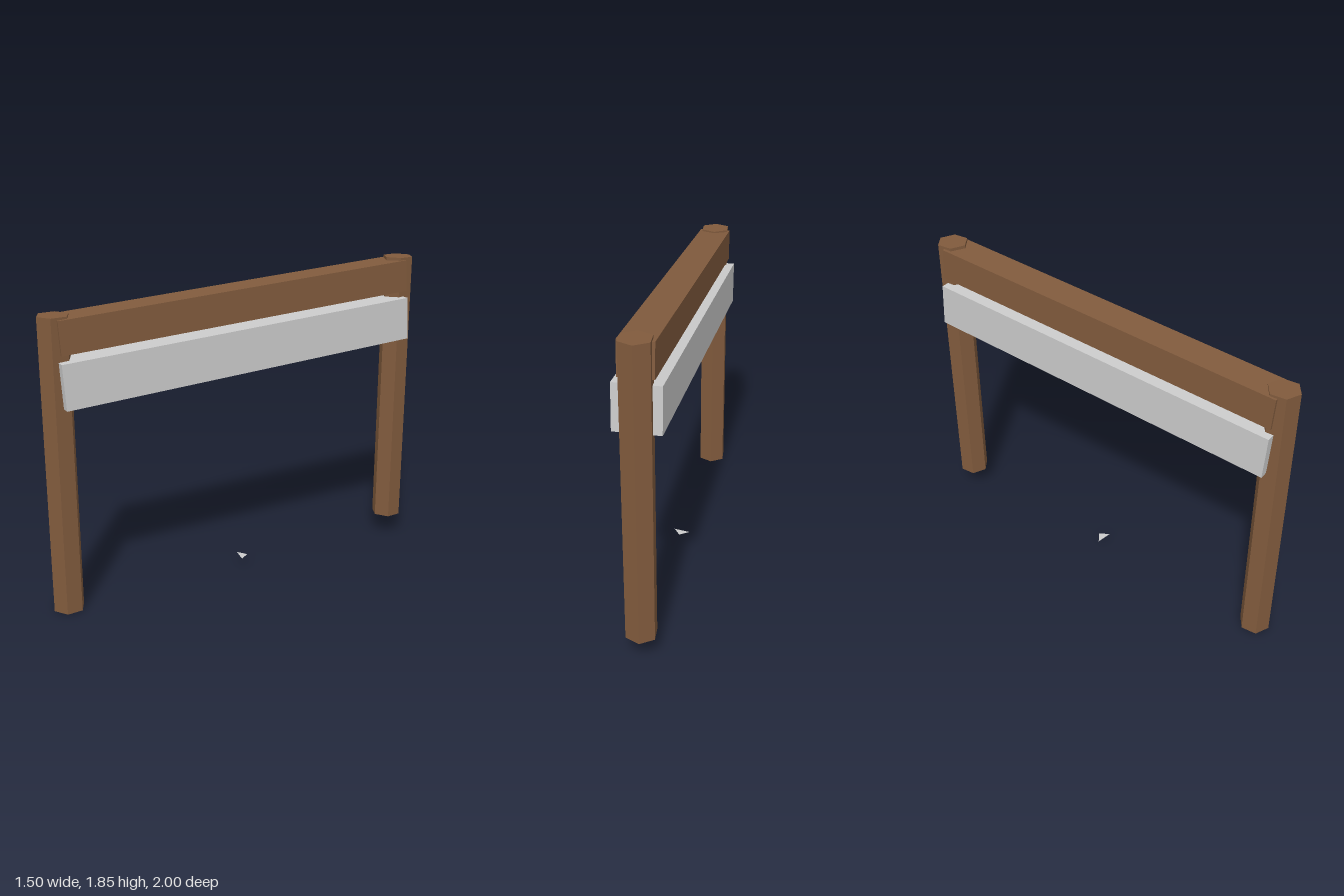
import * as THREE from 'three';

export function createModel() {
  const group = new THREE.Group();
  const wood = new THREE.MeshStandardMaterial({ color: 0x815b3d, flatShading: true });
  const grey = new THREE.MeshStandardMaterial({ color: 0xcccccc, flatShading: true });
  const greyThin = new THREE.MeshStandardMaterial({ color: 0xcccccc, side: THREE.DoubleSide });

  const add = (name, geometry, material) => {
    const mesh = new THREE.Mesh(geometry, material);
    mesh.name = name;
    group.add(mesh);
    return mesh;
  };

  // Two hexagonal posts standing at opposite corners, the back one higher
  const postHeight = 1.716, halfX = 0.638, halfZ = 0.92, rise = 0.135;
  for (const [name, side, base] of [['frontPost', -1, 0], ['backPost', 1, rise]]) {
    const hexagon = new THREE.CylinderGeometry(0.092, 0.092, postHeight, 6).rotateY(Math.PI / 6);
    add(name, hexagon, wood).position.set(side * halfX, base + postHeight / 2, -side * halfZ);
  }

  // Square beams sloping from post to post
  const run = 2 * Math.hypot(halfX, halfZ);
  const beam = (name, thickness, y, material) => {
    const box = new THREE.BoxGeometry(Math.hypot(run, rise), thickness, thickness);
    const mesh = add(name, box, material);
    mesh.position.y = y;
    mesh.rotation.set(0, Math.atan2(halfZ, halfX), Math.atan2(rise, run));
  };
  beam('topBeam', 0.19, 1.674, wood);
  beam('lowerBeam', 0.258, 1.414, grey);

  // Small flat triangle near the ground
  const s = 0.036;
  const triangle = new THREE.Shape([
    new THREE.Vector2(-s, s), new THREE.Vector2(s, -s), new THREE.Vector2(s, s),
  ]);
  const marker = new THREE.ShapeGeometry(triangle).rotateX(-Math.PI / 2);
  add('groundMarker', marker, greyThin).position.y = rise / 2;

  return group;
}
